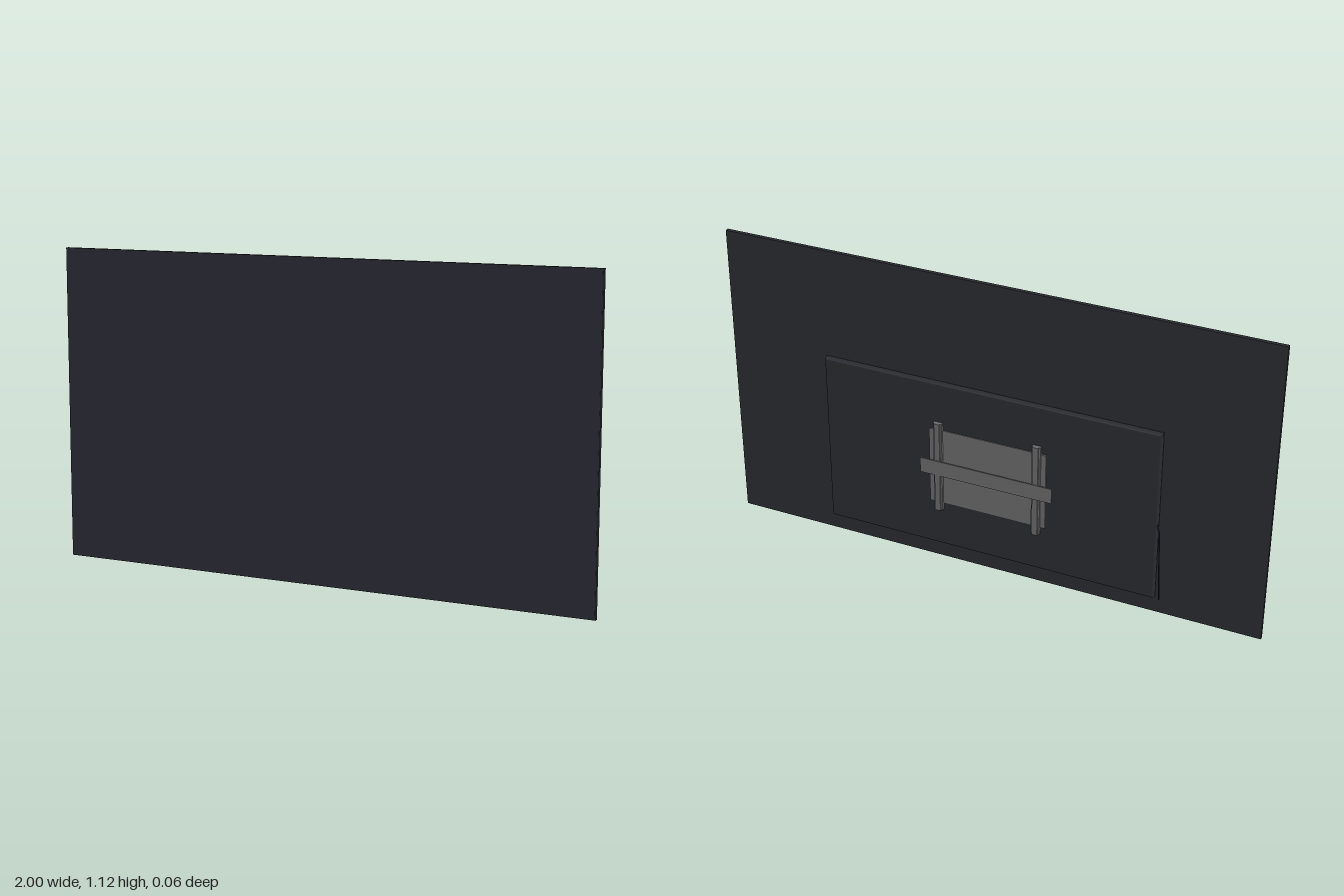
import * as THREE from 'three';

export function createModel() {
  const model = new THREE.Group();
  const material = (name, color) => {
    const m = new THREE.MeshStandardMaterial({ color });
    m.name = name;
    return m;
  };
  const casing = material('dark casing', 0x2a2b31);
  const glass = material('screen glass', 0x2b2b35);
  const steel = material('grey steel', 0x6a6a6a);
  const rubber = material('black rubber', 0x18181a);

  const add = (name, geometry, mat) => {
    const mesh = new THREE.Mesh(geometry, mat);
    mesh.name = name;
    model.add(mesh);
    return mesh;
  };
  // Box given by its limits on each axis
  const box = (name, mat, [x0, x1], [y0, y1], [z0, z1]) =>
    add(name, new THREE.BoxGeometry(x1 - x0, y1 - y0, z1 - z0), mat)
      .position.set((x0 + x1) / 2, (y0 + y1) / 2, (z0 + z1) / 2);

  // Thin display panel with a glass front
  box('displayPanel', casing, [-1, 1], [0, 1.125], [0.017, 0.031]);
  box('screen', glass, [-0.997, 0.997], [0.003, 1.122], [0.031, 0.032]);

  // Electronics housing with bevelled edges
  const bevel = 0.006;
  const w = 0.62 - bevel, y0 = 0.072 + bevel, y1 = 0.724 - bevel;
  const outline = new THREE.Shape([
    new THREE.Vector2(-w, y0), new THREE.Vector2(w, y0),
    new THREE.Vector2(w, y1), new THREE.Vector2(-w, y1),
  ]);
  const housing = new THREE.ExtrudeGeometry(outline, {
    depth: 0.026 - 2 * bevel, bevelThickness: bevel, bevelSize: bevel, bevelSegments: 3,
  });
  housing.translate(0, 0, -0.01 + bevel);
  add('rearHousing', housing, casing);

  // Wall mount: plate, two hat-section rails and a cross bar
  box('mountPlate', steel, [-0.17, 0.17], [0.25, 0.545], [-0.013, -0.009]);
  for (const side of [-1, 1]) {
    const span = (a, b) => (side > 0 ? [a, b] : [-b, -a]);
    box('railFlange', steel, span(0.168, 0.218), [0.25, 0.545], [-0.016, -0.009]);
    box('mountRail', steel, span(0.168, 0.2), [0.222, 0.575], [-0.022, -0.011]);
    box('railRidge', steel, span(0.174, 0.194), [0.222, 0.575], [-0.028, -0.022]);
  }
  box('crossBar', steel, [-0.247, 0.247], [0.37, 0.428], [-0.032, -0.028]);

  // Power cable hanging from the side of the housing
  const cablePath = new THREE.CatmullRomCurve3([
    new THREE.Vector3(-0.617, 0.375, -0.002),
    new THREE.Vector3(-0.628, 0.35, -0.009),
    new THREE.Vector3(-0.634, 0.28, -0.016),
    new THREE.Vector3(-0.647, 0.09, -0.03),
  ]);
  add('powerCable', new THREE.TubeGeometry(cablePath, 24, 0.0025, 8), rubber);

  return model;
}
